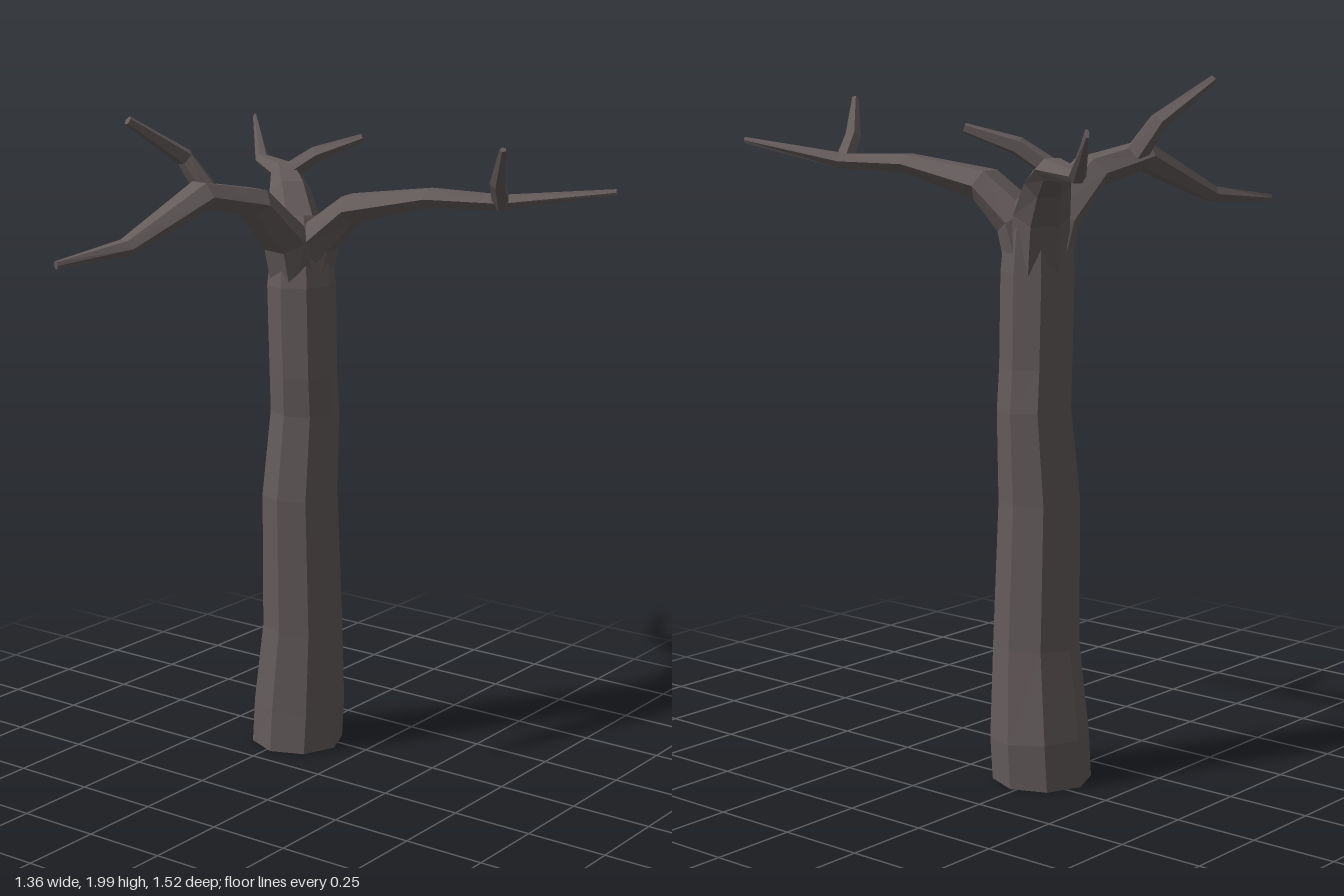
import * as THREE from 'three';

// Lofts a closed, flat-shaded limb through stations [x, y, z, halfWidth, halfHeight].
function limb(name, material, sides, stations) {
  const pts = stations.map(s => new THREE.Vector3(s[0], s[1], s[2]));
  const last = pts.length - 1;
  const chord = pts[last].clone().sub(pts[0]);
  // Branches keep their width horizontal; an upright limb uses the x axis.
  const side = new THREE.Vector3(1, 0, 0);
  if (Math.hypot(chord.x, chord.z) > 0.1) side.set(-chord.z, 0, chord.x).normalize();

  const pos = [], index = [];
  stations.forEach((s, i) => {
    const tangent = pts[Math.min(i + 1, last)].clone().sub(pts[Math.max(i - 1, 0)]);
    if (i === 0 && sides === 8) tangent.set(0, 1, 0);
    tangent.normalize();
    const u = side.clone().addScaledVector(tangent, -side.dot(tangent)).normalize();
    const v = tangent.clone().cross(u);
    for (let k = 0; k < sides; k++) {
      const a = k / sides * Math.PI * 2;
      const p = pts[i].clone()
        .addScaledVector(u, Math.cos(a) * s[3])
        .addScaledVector(v, Math.sin(a) * (s[4] ?? s[3]));
      pos.push(p.x, p.y, p.z);
    }
  });
  for (let i = 0; i < last; i++) {
    for (let k = 0; k < sides; k++) {
      const a = i * sides + k, b = i * sides + (k + 1) % sides;
      index.push(a, b, b + sides, a, b + sides, a + sides);
    }
  }
  // End caps
  const e = last * sides;
  for (let k = 1; k < sides - 1; k++) index.push(0, k + 1, k, e, e + k, e + k + 1);

  const geo = new THREE.BufferGeometry();
  geo.setAttribute('position', new THREE.Float32BufferAttribute(pos, 3));
  geo.setIndex(index);
  const flat = geo.toNonIndexed();
  flat.computeVertexNormals();
  const mesh = new THREE.Mesh(flat, material);
  mesh.name = name;
  return mesh;
}

export function createModel() {
  const tree = new THREE.Group();
  tree.name = 'bareTree';
  const bark = new THREE.MeshStandardMaterial({ color: 0x645b5b, flatShading: true });
  bark.name = 'greyBark';

  // Trunk, wider at the foot and slightly wavering
  tree.add(limb('trunk', bark, 8, [
    [0.205, 0.01, -0.233, 0.142],
    [0.212, 0.14, -0.23, 0.142],
    [0.203, 0.4, -0.21, 0.124],
    [0.19, 0.82, -0.21, 0.116],
    [0.202, 1.08, -0.2, 0.105],
    [0.192, 1.2, -0.198, 0.103],
    [0.19, 1.47, -0.203, 0.104],
    [0.2, 1.6, -0.21, 0.09],
    [0.21, 1.67, -0.22, 0.06],
  ]));

  // Main branches
  tree.add(limb('rightBranch', bark, 6, [
    [0.18, 1.46, -0.21, 0.085, 0.075],
    [0.13, 1.61, -0.215, 0.085, 0.065],
    [0, 1.735, -0.235, 0.076, 0.05],
    [-0.19, 1.775, -0.275, 0.062, 0.044],
    [-0.45, 1.652, -0.335, 0.035, 0.026],
    [-0.68, 1.628, -0.39, 0.01, 0.012],
  ]));
  tree.add(limb('frontBranch', bark, 6, [
    [0.2, 1.46, -0.2, 0.085, 0.075],
    [0.21, 1.61, -0.155, 0.085, 0.065],
    [0.235, 1.705, -0.05, 0.075, 0.05],
    [0.275, 1.755, 0.2, 0.047, 0.03],
    [0.318, 1.755, 0.42, 0.03, 0.024],
    [0.385, 1.805, 0.755, 0.008, 0.01],
  ]));
  tree.add(limb('backBranch', bark, 6, [
    [0.2, 1.46, -0.215, 0.085, 0.08],
    [0.23, 1.63, -0.25, 0.08, 0.07],
    [0.29, 1.725, -0.32, 0.065, 0.052],
    [0.37, 1.77, -0.4, 0.046, 0.034],
    [0.55, 1.772, -0.63, 0.023, 0.02],
    [0.67, 1.89, -0.755, 0.006, 0.014],
  ]));

  // Side twigs, one on each branch
  tree.add(limb('rightTwig', bark, 5, [
    [-0.14, 1.78, -0.29, 0.045, 0.035],
    [-0.175, 1.875, -0.345, 0.04, 0.028],
    [-0.33, 1.99, -0.425, 0.016, 0.014],
  ]));
  tree.add(limb('frontTwig', bark, 5, [
    [0.315, 1.75, 0.42, 0.028, 0.026],
    [0.245, 1.82, 0.45, 0.024, 0.022],
    [0.165, 1.928, 0.515, 0.01, 0.009],
  ]));
  tree.add(limb('backTwig', bark, 5, [
    [0.35, 1.76, -0.4, 0.038, 0.03],
    [0.405, 1.83, -0.31, 0.036, 0.026],
    [0.495, 1.878, -0.2, 0.013, 0.014],
  ]));

  return tree;
}
